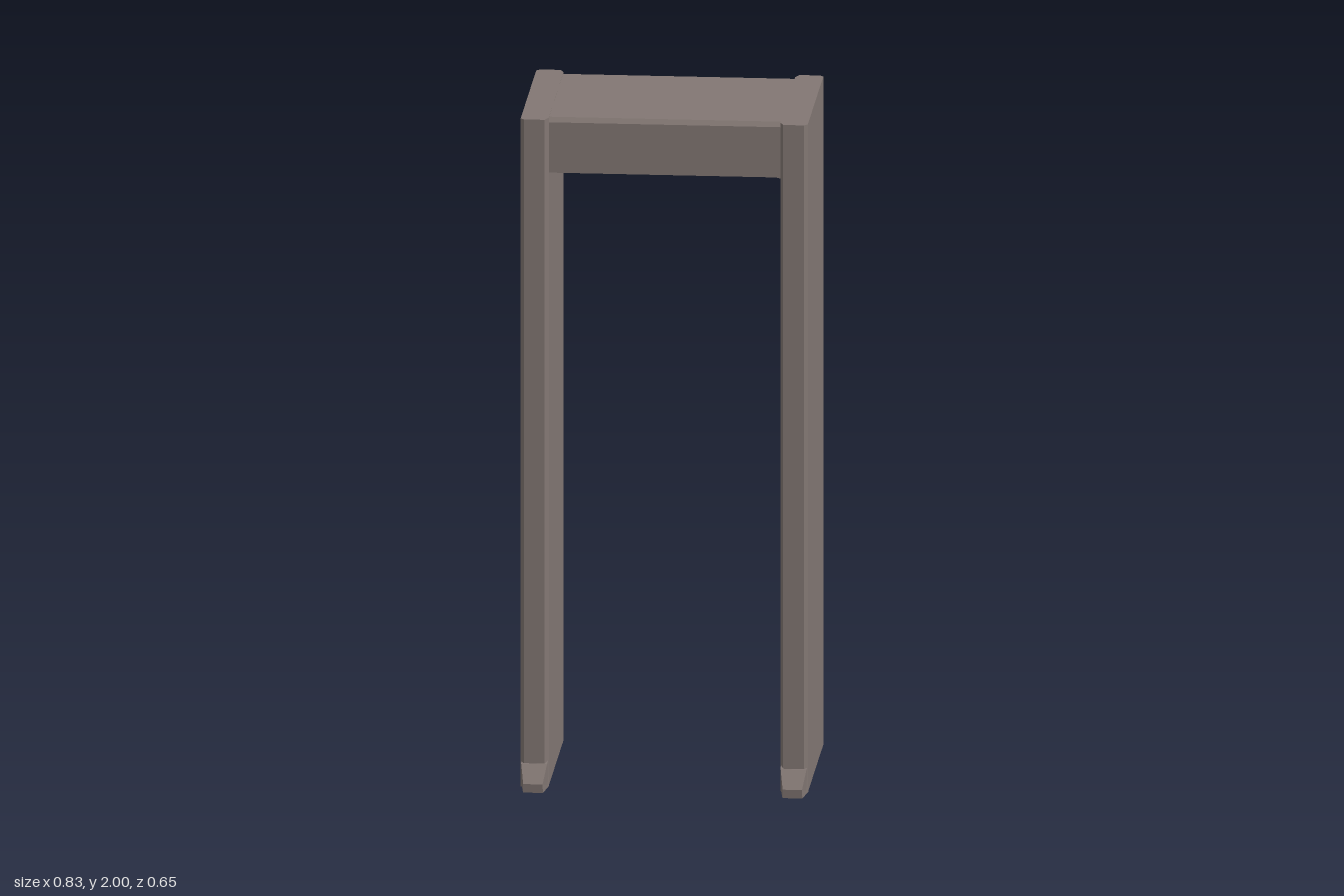
import * as THREE from 'three';

const shapeOf = (points) => new THREE.Shape(points.map(([a, b]) => new THREE.Vector2(a, b)));

// Extrudes a (z, y) profile along x, centred on x = 0
function extrudeAlongX(points, width) {
  const geometry = new THREE.ExtrudeGeometry(shapeOf(points), { depth: width, bevelEnabled: false });
  geometry.translate(0, 0, -width / 2);
  geometry.rotateY(-Math.PI / 2); // shape x -> +z, depth -> -x
  return geometry;
}

export function createModel() {
  const model = new THREE.Group();
  model.name = 'walkThroughGate';
  const material = new THREE.MeshStandardMaterial({ color: 0x827773 });
  material.name = 'warm grey';

  const add = (parent, name, geometry) => {
    const mesh = new THREE.Mesh(geometry, material);
    mesh.name = name;
    parent.add(mesh);
    return mesh;
  };

  // Upright panel: bevelled plan section, outer face towards +x
  const panelSection = [
    [0.04, -0.268], [0.04, 0.268], [0.03, 0.28], [-0.03, 0.28],
    [-0.04, 0.255], [-0.04, -0.255], [-0.03, -0.28], [0.03, -0.28],
  ];
  const panelGeometry = new THREE.ExtrudeGeometry(shapeOf(panelSection), { depth: 1.992, bevelEnabled: false });
  panelGeometry.rotateX(-Math.PI / 2);
  panelGeometry.translate(0, 0.008, 0);

  // Flared foot: side profile that narrows towards its tip
  const footGeometry = extrudeAlongX(
    [[0.24, 0.004], [0.322, 0.004], [0.325, 0.03], [0.282, 0.08], [0.24, 0.09]], 0.08);
  const position = footGeometry.attributes.position;
  for (let i = 0; i < position.count; i++) {
    const flare = THREE.MathUtils.clamp((position.getZ(i) - 0.27) / 0.055, 0, 1);
    position.setX(i, position.getX(i) * (1 - 0.3 * flare));
  }
  footGeometry.computeVertexNormals();

  for (const side of [1, -1]) {
    const upright = new THREE.Group();
    upright.name = side > 0 ? 'leftUpright' : 'rightUpright';
    upright.position.x = side * 0.375;
    upright.rotation.y = side > 0 ? 0 : Math.PI;
    add(upright, 'sidePanel', panelGeometry);
    add(upright, 'footA', footGeometry);
    add(upright, 'footB', footGeometry).rotation.y = Math.PI;
    model.add(upright);
  }

  // Overhead beam with softened upper edges
  add(model, 'overheadBeam', extrudeAlongX([
    [-0.25, 1.835], [0.25, 1.835], [0.25, 1.985], [0.24, 1.999], [-0.24, 1.999], [-0.25, 1.985],
  ], 0.69));

  // Shallow brace under one end of the beam
  const brace = new THREE.ExtrudeGeometry(
    shapeOf([[0.2, 1.836], [0.338, 1.802], [0.338, 1.84], [0.2, 1.84]]), { depth: 0.3, bevelEnabled: false });
  brace.translate(0, 0, -0.15);
  add(model, 'beamBrace', brace);

  return model;
}
